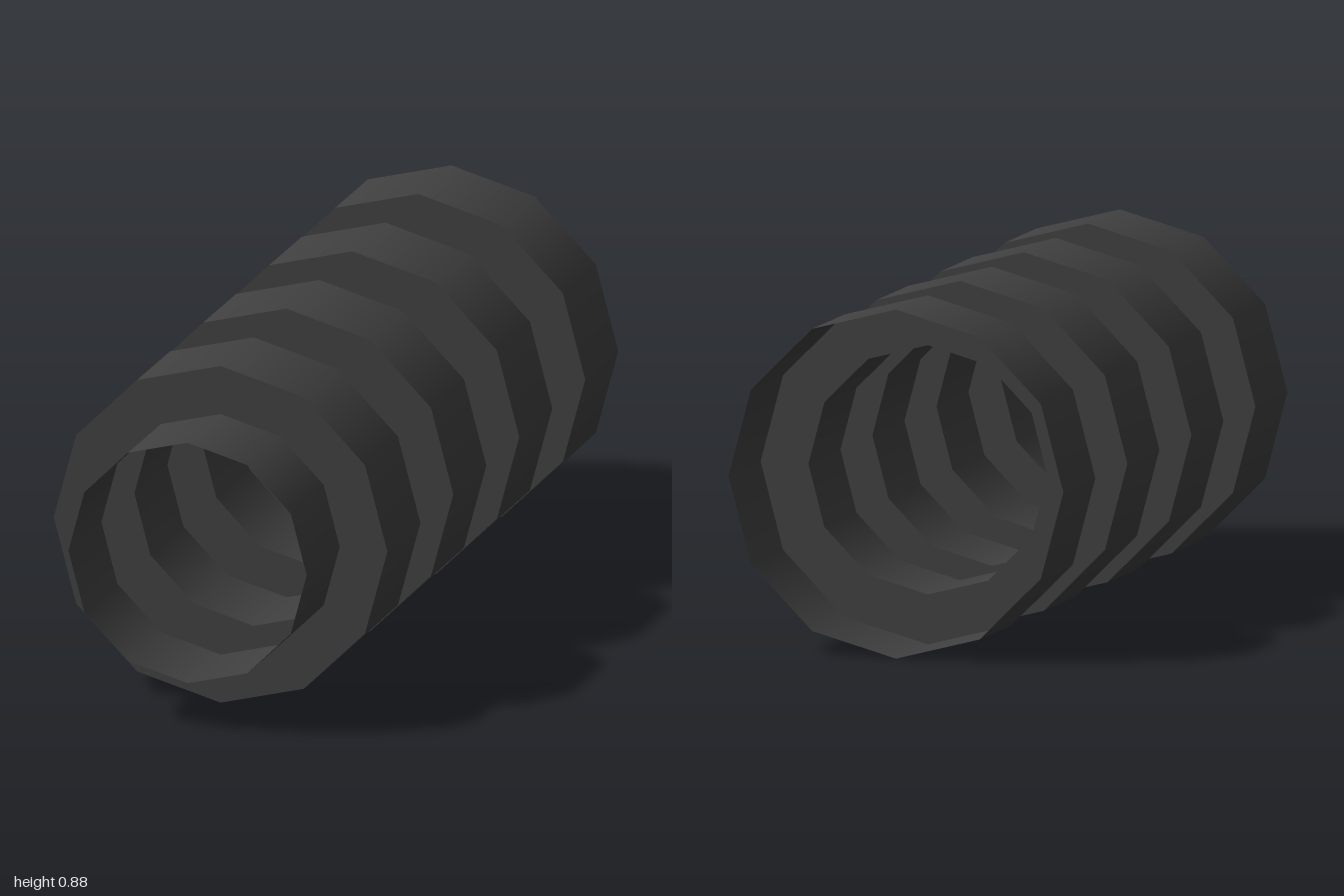
import * as THREE from 'three';

const SIDES = 12;
const SMALL = 0.3125; // radius of the narrow sections
const LARGE = 0.4375; // radius of the wide sections
const LENGTH = 0.25; // length of each section

export function createModel() {
  const model = new THREE.Group();
  model.name = 'ribbedTube';
  const charcoal = new THREE.MeshStandardMaterial({ color: 0x404040, side: THREE.DoubleSide });
  charcoal.name = 'charcoal';

  const add = (name, geometry, z) => {
    const mesh = new THREE.Mesh(geometry, charcoal);
    mesh.name = name;
    mesh.position.set(0, LARGE, z);
    model.add(mesh);
    return mesh;
  };

  // Open sleeves along z, with smooth sides
  const sleeve = (radius) =>
    new THREE.CylinderGeometry(radius, radius, LENGTH, SIDES, 1, true).rotateX(Math.PI / 2);
  const narrow = sleeve(SMALL);
  const wide = sleeve(LARGE);

  // Flat step between neighbouring sleeves
  const step = new THREE.RingGeometry(SMALL, LARGE, SIDES);

  for (let i = 0; i < 8; i++) {
    const front = 1 - i * LENGTH;
    const isWide = i % 2 === 1;
    add(isWide ? 'wideSleeve' : 'narrowSleeve', isWide ? wide : narrow, front - LENGTH / 2);
    if (i > 0) {
      const ring = add(isWide ? 'frontStep' : 'backStep', step, front);
      if (!isWide) ring.rotation.y = Math.PI;
    }
  }
  return model;
}
